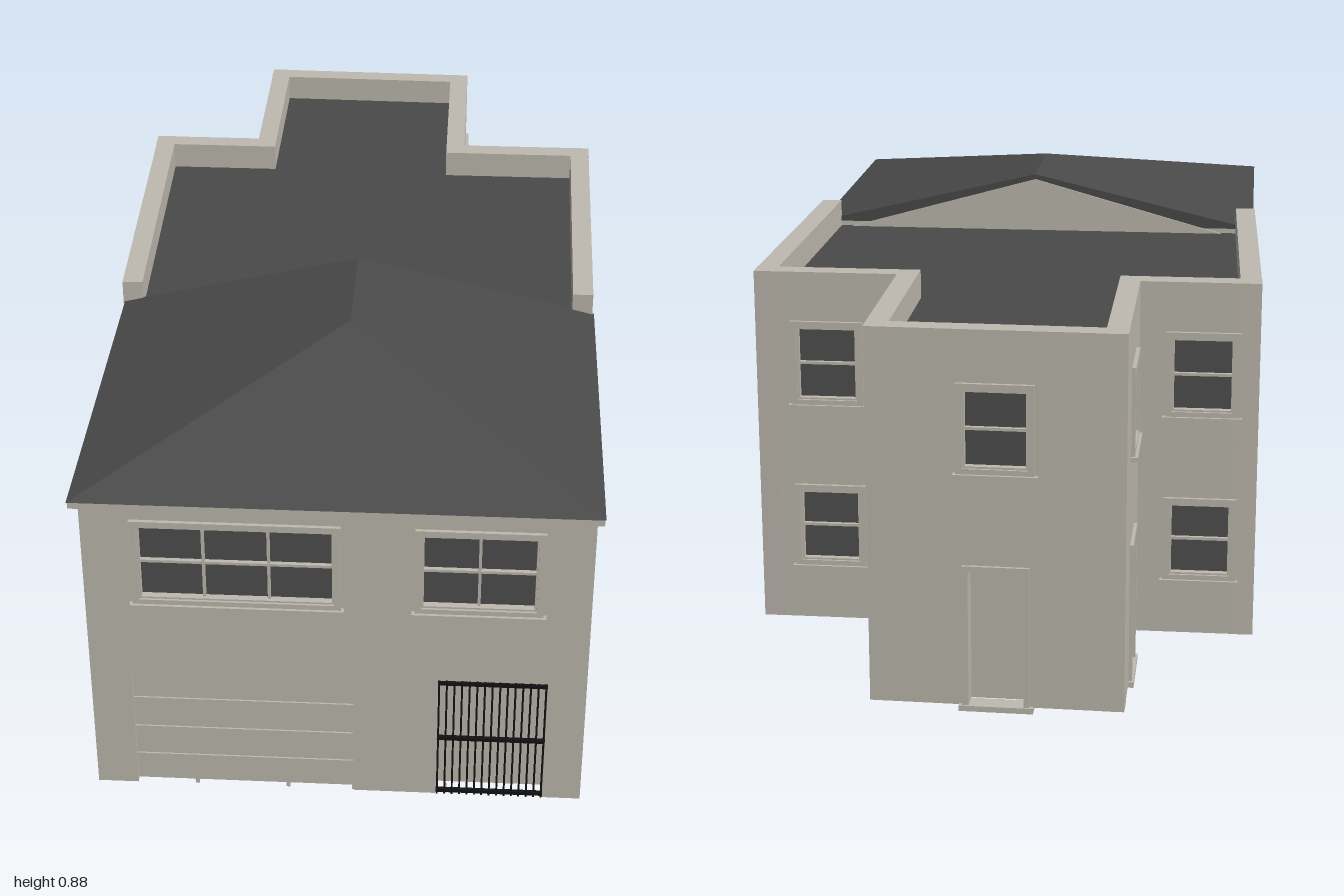
import * as THREE from 'three';

const mat = (name, color, side = THREE.FrontSide) => {
  const m = new THREE.MeshStandardMaterial({ color, side });
  m.name = name;
  return m;
};

export function createModel() {
  const stucco = mat('warm grey stucco', 0xc0bbb1);
  const roofing = mat('charcoal roofing', 0x4a4a4a);
  const glass = mat('dark glass', 0x505050);
  const iron = mat('black iron', 0x121212);
  const house = new THREE.Group();
  house.name = 'house';
  const T = 0.045, BASE = 0.01, EAVE = 0.74, PARAPET = 0.8;

  function add(parent, name, geometry, material) {
    const m = new THREE.Mesh(geometry, material);
    m.name = name;
    parent.add(m);
    return m;
  }
  // Box given by its limits on each axis
  function box(parent, name, material, x0, x1, y0, y1, z0, z1) {
    const m = add(parent, name, new THREE.BoxGeometry(x1 - x0, y1 - y0, z1 - z0), material);
    m.position.set((x0 + x1) / 2, (y0 + y1) / 2, (z0 + z1) / 2);
    return m;
  }
  const shapeOf = pts => new THREE.Shape(pts.map(p => new THREE.Vector2(p[0], p[1])));
  const rect = (x0, x1, y0, y1) => [[x0, y0], [x1, y0], [x1, y1], [x0, y1]];

  // Four bars around an opening
  function surround(parent, name, x0, x1, y0, y1, w, z0, z1) {
    const s = shapeOf(rect(x0 - w, x1 + w, y0 - w, y1 + w));
    s.holes.push(shapeOf(rect(x0, x1, y0, y1)));
    const g = new THREE.ExtrudeGeometry(s, { depth: z1 - z0, bevelEnabled: false });
    add(parent, name, g.translate(0, 0, z0), stucco);
  }

  // Wall in its own frame: x runs along it, z points outward
  function wall(name, a, b, { top, holes = [], startExtra = 0, endExtra = 0 } = {}) {
    const g = new THREE.Group();
    g.name = name;
    const dx = b[0] - a[0], dz = b[1] - a[1], len = Math.hypot(dx, dz);
    g.position.set(a[0], 0, a[1]);
    g.rotation.y = Math.atan2(-dz, dx);
    const u0 = -startExtra, u1 = len + endExtra;
    const outline = [[u0, BASE], [u1, BASE], ...(top ? top(len) : [[u1, PARAPET], [u0, PARAPET]])];
    // Openings reaching the ground become notches in the lower edge
    const notches = holes.filter(h => h[2] <= BASE).sort((p, q) => p[0] - q[0]);
    outline.splice(1, 0, ...notches.flatMap(h => [[h[0], BASE], [h[0], h[3]], [h[1], h[3]], [h[1], BASE]]));
    const s = shapeOf(outline);
    holes.filter(h => h[2] > BASE).forEach(h => s.holes.push(shapeOf(rect(...h))));
    const geo = new THREE.ExtrudeGeometry(s, { depth: T, bevelEnabled: false });
    add(g, name + 'Shell', geo.translate(0, 0, -T), stucco);
    house.add(g);
    return g;
  }

  function windowUnit(parent, [x0, x1, y0, y1], cols) {
    const g = new THREE.Group();
    g.name = 'window';
    parent.add(g);
    box(g, 'windowGlass', glass, x0, x1, y0, y1, -0.025, -0.012);
    surround(g, 'windowTrim', x0, x1, y0, y1, 0.014, -0.004, 0.008);
    surround(g, 'windowSash', x0 + 0.004, x1 - 0.004, y0 + 0.004, y1 - 0.004, 0.004, -0.013, 0.003);
    for (let i = 1; i < cols; i++) {
      const x = x0 + (x1 - x0) * i / cols;
      box(g, 'windowMullion', stucco, x - 0.003, x + 0.003, y0, y1, -0.013, -0.004);
    }
    const y = (y0 + y1) / 2;
    box(g, 'windowRail', stucco, x0, x1, y - 0.003, y + 0.003, -0.013, -0.003);
    box(g, 'windowSill', stucco, x0 - 0.02, x1 + 0.02, y0 - 0.021, y0 - 0.011, 0, 0.014);
  }

  function doorUnit(parent, [x0, x1, , y1]) {
    const g = new THREE.Group();
    g.name = 'door';
    parent.add(g);
    box(g, 'doorPanel', stucco, x0, x1, BASE, y1, -T, -T + 0.008);
    for (const [l, r] of [[x0 - 0.012, x0], [x1, x1 + 0.012]])
      box(g, 'doorJamb', stucco, l, r, 0.004, y1 + 0.01, -0.004, 0.007);
    box(g, 'doorHead', stucco, x0 - 0.012, x1 + 0.012, y1, y1 + 0.012, -0.004, 0.007);
    box(g, 'doorStep', stucco, x0 - 0.02, x1 + 0.02, 0, 0.012, -0.03, 0.011);
  }

  // Footprint corners as [x, z], anticlockwise seen from above
  const P = [[-0.505, 0.97], [0.52, 0.97], [0.54, -0.55], [0.23, -0.55],
    [0.23, -0.98], [-0.29, -0.99], [-0.29, -0.56], [-0.545, -0.56]];

  // Front wall with windows, garage door and gate
  const F = 0.505;
  const wide = [-0.392 + F, 0.002 + F, 0.503, 0.68], narrow = [0.178 + F, 0.409 + F, 0.503, 0.68];
  const garage = [-0.42 + F, 0.04 + F, BASE, 0.312], entry = [0.215 + F, 0.44 + F, BASE, 0.315];
  const front = wall('frontWall', P[0], P[1], {
    top: len => [[len, EAVE], [0, EAVE]], holes: [wide, narrow, garage, entry]
  });
  windowUnit(front, wide, 3);
  windowUnit(front, narrow, 2);

  // Garage door: four panels over a backing sheet
  box(front, 'garageBacking', stucco, garage[0], garage[1], BASE, garage[3], -T, -0.026);
  const seams = [BASE, 0.08, 0.155, 0.232, 0.312];
  for (let i = 0; i < 4; i++) {
    box(front, 'garagePanel', stucco, garage[0], garage[1], seams[i] + 0.0015, seams[i + 1] - 0.0015, -0.03, -0.014);
  }
  for (const x of [-0.295, -0.1, 0.04, 0.235])
    box(front, 'footBlock', stucco, x + F - 0.004, x + F + 0.004, 0, 0.012, -0.03, -0.014);

  // Iron gate before a shallow entry
  box(front, 'entryBack', stucco, entry[0], entry[1], BASE, entry[3], -T, -T + 0.006);
  const gate = new THREE.Group();
  gate.name = 'entryGate';
  front.add(gate);
  const BARS = 15;
  for (let i = 0; i < BARS; i++) {
    const x = entry[0] + 0.0025 + (entry[1] - entry[0] - 0.005) * i / (BARS - 1);
    box(gate, 'gateBar', iron, x - 0.002, x + 0.002, BASE, 0.316, -0.004, 0.001);
  }
  for (const y of [0.02, 0.163, 0.309])
    box(gate, 'gateRail', iron, entry[0], entry[1], y - 0.004, y + 0.004, -0.005, 0.003);

  // Long side walls step up to the parapet behind the hipped roof
  wall('leftSideWall', P[1], P[2], {
    top: len => [[len, PARAPET], [0.77, PARAPET], [0.77, EAVE], [0, EAVE]]
  });
  wall('rightSideWall', P[7], P[0], {
    top: len => [[len, EAVE], [0.76, EAVE], [0.76, PARAPET], [0, PARAPET]]
  });

  // Rear walls, each with its windows or window and door
  const upper = c => [c - 0.065, c + 0.065, 0.517, 0.678];
  const lower = c => [c - 0.065, c + 0.065, 0.147, 0.308];
  const doorway = c => [c - 0.056, c + 0.056, BASE, 0.3];
  function wingBack(name, a, b, c) {
    const holes = [upper(c), lower(c)];
    const g = wall(name, a, b, { holes });
    holes.forEach(h => windowUnit(g, h, 1));
  }
  function annexWall(name, a, b, c, extra) {
    const holes = [upper(c), doorway(c)];
    const g = wall(name, a, b, { holes, ...extra });
    windowUnit(g, holes[0], 1);
    doorUnit(g, holes[1]);
  }
  wingBack('leftWingBackWall', P[2], P[3], 0.155);
  annexWall('annexLeftWall', P[3], P[4], 0.22, { startExtra: T });
  annexWall('annexBackWall', P[4], P[5], 0.26);
  annexWall('annexRightWall', P[5], P[6], 0.22, { endExtra: T });
  wingBack('rightWingBackWall', P[6], P[7], 0.135);

  // Flat roof inside the parapet, also the ceiling
  const deck = shapeOf([[-0.48, 0.95], [0.495, 0.95], [0.51, -0.52], [0.2, -0.52],
    [0.2, -0.95], [-0.26, -0.96], [-0.26, -0.53], [-0.515, -0.53]]);
  const deckGeo = new THREE.ExtrudeGeometry(deck, { depth: 0.012, bevelEnabled: false });
  add(house, 'flatRoof', deckGeo.rotateX(Math.PI / 2), roofing).position.y = 0.738;

  // Hipped front roof on its eave board, with a gable at the rear
  const L = -0.522, R = 0.534, M = 0.006, Y = 0.75, H = 0.875;
  box(house, 'eaveBoard', stucco, L + 0.002, R - 0.002, 0.735, Y - 0.001, 0.2, 0.998);
  const fl = [L, Y, 1], fr = [R, Y, 1], bl = [L, Y, 0.195], br = [R, Y, 0.195];
  const hip = [M, H, 0.47], ridge = [M, H, 0.195];
  const faces = [fl, fr, hip, fr, br, ridge, fr, ridge, hip, bl, fl, hip, bl, hip, ridge,
    br, bl, ridge, fl, bl, br, fl, br, fr];
  const roofGeo = new THREE.BufferGeometry();
  roofGeo.setAttribute('position', new THREE.Float32BufferAttribute(faces.flat(), 3));
  roofGeo.computeVertexNormals();
  add(house, 'hippedRoof', roofGeo, roofing);
  const gable = shapeOf([[L + 0.07, EAVE - 0.004], [R - 0.07, EAVE - 0.004], [M, H - 0.012]]);
  const gableGeo = new THREE.ExtrudeGeometry(gable, { depth: 0.006, bevelEnabled: false });
  add(house, 'rearGable', gableGeo, stucco).position.z = 0.191;

  return house;
}
